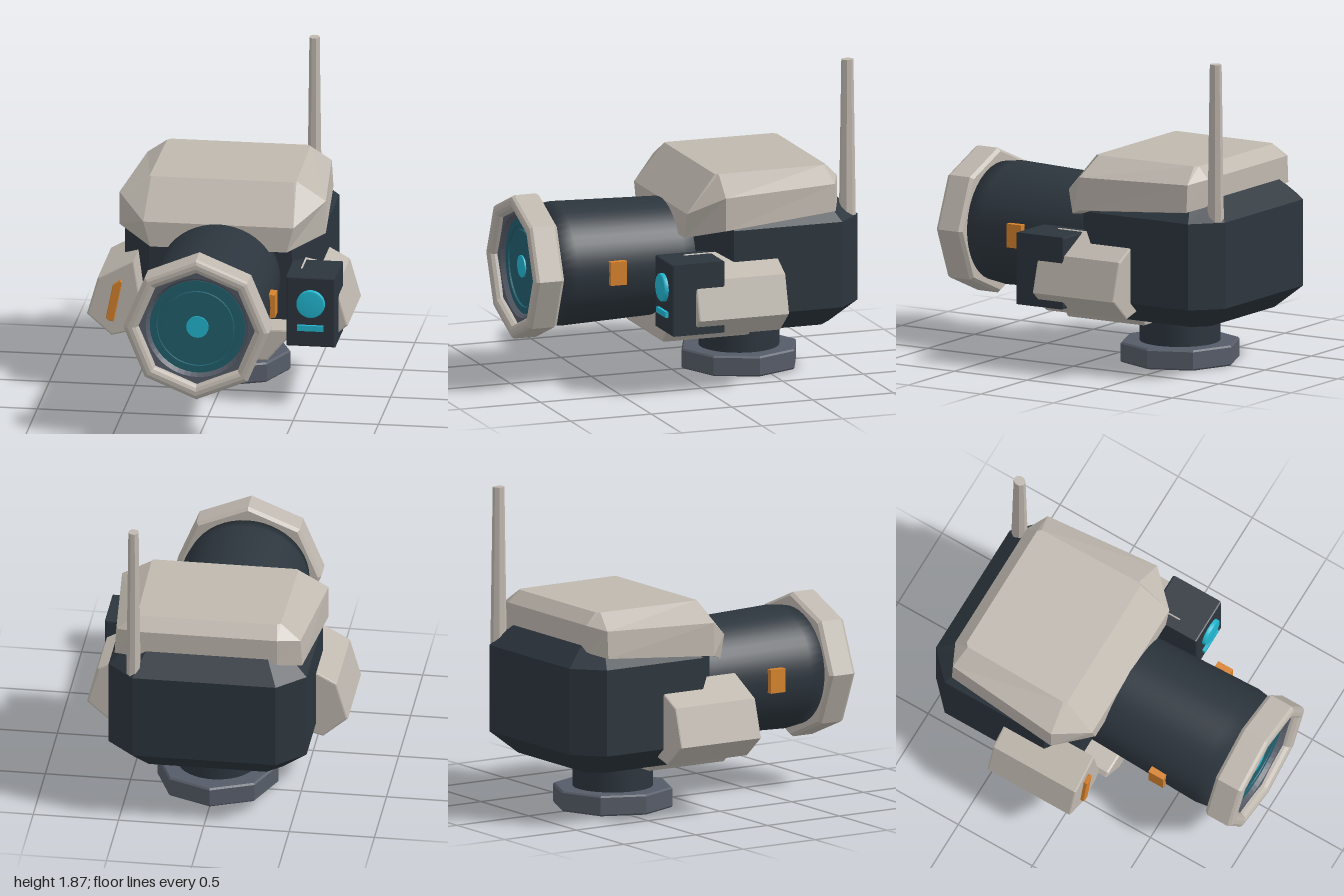
import * as THREE from 'three';

const mat = (name, color, flatShading = false) => {
  const m = new THREE.MeshStandardMaterial({ color, flatShading });
  m.name = name;
  return m;
};

// Closed solid skinned over horizontal rings, listed bottom to top
function loft(rings) {
  const pos = [];
  const tri = (a, b, c) => pos.push(...a, ...b, ...c);
  const n = rings[0].length;
  for (let k = 0; k < rings.length - 1; k++) {
    const lo = rings[k], hi = rings[k + 1];
    for (let i = 0; i < n; i++) {
      const j = (i + 1) % n;
      tri(lo[i], lo[j], hi[j]);
      tri(lo[i], hi[j], hi[i]);
    }
  }
  const bottom = rings[0], top = rings[rings.length - 1];
  for (let i = 1; i < n - 1; i++) {
    tri(bottom[0], bottom[i + 1], bottom[i]);
    tri(top[0], top[i], top[i + 1]);
  }
  const g = new THREE.BufferGeometry();
  g.setAttribute('position', new THREE.Float32BufferAttribute(pos, 3));
  g.computeVertexNormals();
  return g;
}

// Mirrors the +x half of a ring (front to back) into a full ring
const mirrorRing = (half) => [...half, ...half.slice().reverse().map(([x, y, z]) => [-x, y, z])];

// Polygon extruded along z from z0 to z1 with a small bevel
function slab(points, z0, z1, bevel = 0.012) {
  const shape = new THREE.Shape(points.map(([x, y]) => new THREE.Vector2(x, y)));
  const g = new THREE.ExtrudeGeometry(shape, {
    depth: z1 - z0 - 2 * bevel, bevelEnabled: bevel > 0, bevelThickness: bevel,
    bevelSize: bevel, bevelOffset: -bevel, bevelSegments: 2,
  });
  return g.translate(0, 0, z0 + bevel);
}

// Lathe whose axis points along z; profile is [radius, z]
const latheZ = (profile, sides) => new THREE.LatheGeometry(
  profile.map(([r, z]) => new THREE.Vector2(r, z)), sides).rotateX(Math.PI / 2);

export function createModel() {
  const model = new THREE.Group();
  model.name = 'scannerHead';
  const light = mat('warmGrey', 0xbfb8af, true);
  const dark = mat('charcoal', 0x2c353d, true);
  const darkSmooth = dark.clone();
  darkSmooth.flatShading = false;
  darkSmooth.name = 'charcoalSmooth';
  const slate = mat('slate', 0x565c68, true);
  const teal = mat('deepTeal', 0x22606f, true);
  const cyan = mat('cyan', 0x22b8d2);
  const orange = mat('orange', 0xd6822c, true);

  const add = (name, geometry, material, x = 0, y = 0, z = 0) => {
    const m = new THREE.Mesh(geometry, material);
    m.name = name;
    m.position.set(x, y, z);
    model.add(m);
    return m;
  };

  // Octagonal foot and round neck
  const foot = new THREE.LatheGeometry([[0, 0], [0.345, 0], [0.355, 0.01], [0.355, 0.11], [0.345, 0.12], [0, 0.12]]
    .map(([r, y]) => new THREE.Vector2(r, y)), 8);
  add('foot', foot, slate, 0, 0, -0.415);
  add('neck', new THREE.CylinderGeometry(0.235, 0.235, 0.24, 40), darkSmooth, 0, 0.23, -0.415);

  // Body: chamfered block with sloped top and bottom edges
  const bodyRing = (y, inset) => mirrorRing([
    [0.42 - inset * 0.5, y, -0.02 - inset], [0.58 - inset, y, -0.17 - inset * 0.5],
    [0.58 - inset, y, -0.84 + inset * 0.5], [0.42 - inset * 0.5, y, -0.995 + inset],
  ]);
  add('body', loft([bodyRing(0.3, 0.15), bodyRing(0.43, 0), bodyRing(0.94, 0), bodyRing(1.06, 0.13)]), dark);

  // Hood: wide at the front, narrower and higher at the back
  add('hood', loft([
    mirrorRing([[0.40, 0.88, 0.07], [0.605, 0.95, -0.11], [0.55, 1.0, -0.81], [0.41, 1.02, -0.87]]),
    mirrorRing([[0.44, 1.03, 0.07], [0.605, 1.145, -0.11], [0.54, 1.16, -0.81], [0.41, 1.18, -0.87]]),
    mirrorRing([[0.42, 1.25, -0.11], [0.43, 1.25, -0.13], [0.42, 1.25, -0.78], [0.40, 1.25, -0.8]]),
  ]), light);

  // Barrel
  const axisY = 0.693;
  const barrel = add('barrel', latheZ([[0, -0.15], [0.335, -0.15], [0.34, 0.05], [0.362, 0.72], [0.345, 0.84], [0, 0.84]], 48),
    darkSmooth, 0, axisY, 0);
  barrel.scale.x = 1.04;

  // Octagonal front bezel with rounded lips
  add('bezel', latheZ([
    [0.33, 0.82], [0.41, 0.82], [0.428, 0.84], [0.428, 0.975], [0.418, 0.992], [0.40, 1.0],
    [0.375, 1.0], [0.355, 0.99], [0.343, 0.97], [0.34, 0.94], [0.33, 0.82],
  ], 8), light, 0, axisY, 0);

  // Recessed lens: sloped collar, stepped glass and bright pupil
  add('lensCollar', latheZ([[0.36, 0.86], [0.36, 0.955], [0.30, 0.95], [0.275, 0.91]], 48), slate, 0, axisY, 0);
  add('lensGlass', latheZ([
    [0.28, 0.85], [0.28, 0.925], [0.24, 0.925], [0.237, 0.915], [0.215, 0.915], [0.212, 0.925], [0, 0.925],
  ], 48), teal, 0, axisY, 0);
  add('lensPupil', new THREE.CylinderGeometry(0.065, 0.065, 0.009, 32).rotateX(Math.PI / 2), cyan, 0, axisY, 0.93);

  // Cradle under the barrel
  add('cradle', slab([[-0.30, 0.245], [0.30, 0.245], [0.44, 0.41], [0.42, 0.44], [-0.42, 0.44], [-0.44, 0.41]], -0.37, 0.17), light);

  // Side pods and barrel markers, mirrored
  const podProfile = [[0.43, 0.43], [0.47, 0.38], [0.62, 0.34], [0.765, 0.465], [0.70, 0.69], [0.49, 0.805]];
  for (const s of [1, -1]) {
    const profile = podProfile.map(([x, y]) => [s * x, y]);
    add(s > 0 ? 'leftPod' : 'rightPod', slab(profile, -0.445, 0.115, 0.01), light);
    add(s > 0 ? 'leftMarker' : 'rightMarker', new THREE.BoxGeometry(0.04, 0.14, 0.1), orange, s * 0.377, 0.70, 0.475);
  }

  // Slanted strip on the right pod
  add('podStrip', slab([
    [-0.65, 0.455], [-0.635, 0.438], [-0.605, 0.432], [-0.556, 0.67], [-0.565, 0.686], [-0.61, 0.655],
  ], 0.113, 0.138, 0.004), orange);

  // Sensor box on the left pod with a round lamp and a bar
  add('sensorBox', slab([[0.425, 0.375], [0.712, 0.375], [0.712, 0.8], [0.425, 0.8]], -0.065, 0.262, 0.01), dark);
  add('sensorLamp', latheZ([[0.083, 0], [0.083, 0.018], [0.075, 0.026], [0, 0.026]], 32), cyan, 0.57, 0.64, 0.262);
  add('sensorBar', new THREE.BoxGeometry(0.155, 0.034, 0.02), cyan, 0.568, 0.492, 0.27);

  // Tapered antenna at the back left corner
  const antenna = add('antenna', new THREE.CylinderGeometry(0.036, 0.05, 0.93, 8).rotateY(Math.PI / 8), light, 0.422, 1.405, -0.93);
  antenna.scale.x = 0.85;

  return model;
}
